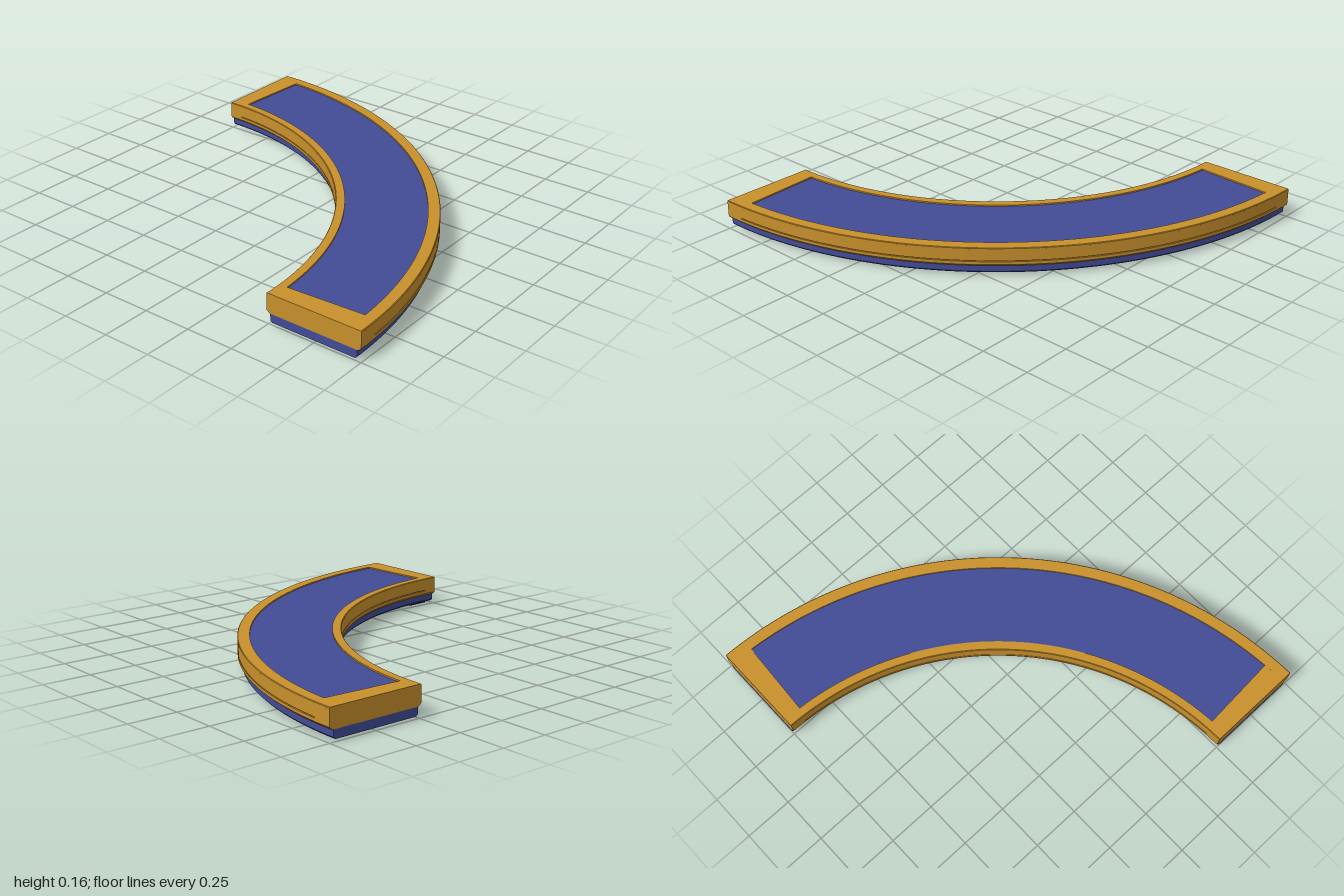
import * as THREE from 'three';
import { mergeGeometries, toCreasedNormals } from 'three/addons/utils/BufferGeometryUtils.js';

const QUARTER = Math.PI / 2;

// Sweeps a closed counter-clockwise [radius, y] profile along an arc and caps both ends.
function sweep(profile, start = 0, end = QUARTER) {
  const points = profile.map(([r, y]) => new THREE.Vector2(r, y));
  const segments = Math.max(2, Math.ceil((end - start) * 48));
  const side = new THREE.LatheGeometry([...points, points[0]], segments, start, end - start);
  const cap = (phi, flip) => {
    const geometry = new THREE.ShapeGeometry(new THREE.Shape(points));
    geometry.rotateY(phi - QUARTER);
    if (flip) geometry.setIndex(Array.from(geometry.index.array).reverse());
    return geometry.toNonIndexed();
  };
  const parts = [side.toNonIndexed(), cap(start, false), cap(end, true)];
  return toCreasedNormals(mergeGeometries(parts), 0.5);
}

const band = (r0, r1, y0, y1) => [[r0, y0], [r1, y0], [r1, y1], [r0, y1]];

export function createModel() {
  const model = new THREE.Group();
  model.name = 'curvedCounter';

  const material = (name, color) => {
    const m = new THREE.MeshStandardMaterial({ color });
    m.name = name;
    return m;
  };
  const ochre = material('ochre', 0xc8902c);
  const blue = material('blue', 0x424b96);
  const black = material('black', 0x1a1a20);

  // The arc is centred on the back right corner of the bounds.
  const arc = new THREE.Group();
  arc.name = 'arc';
  arc.position.set(-1, 0, -1);
  model.add(arc);

  const add = (name, mat, profile, start, end) => {
    const mesh = new THREE.Mesh(sweep(profile, start, end), mat);
    mesh.name = name;
    arc.add(mesh);
  };

  const inner = 1.49, outer = 2, rimInner = 1.535, rimOuter = 1.94;
  const floorY = 0.145, topY = 0.155;
  const endBlock = 0.05, rimEnd = 0.059;

  // Frame body: grooved along the sides, solid at both ends
  const lower = [[inner + 0.015, 0.055], [outer - 0.015, 0.055], [outer, 0.068]];
  const grooved = [
    ...lower,
    [outer, 0.083], [outer - 0.008, 0.083], [outer - 0.008, 0.088], [outer, 0.088],
    [outer, floorY], [inner, floorY],
    [inner, 0.088], [inner + 0.008, 0.088], [inner + 0.008, 0.083], [inner, 0.083],
    [inner, 0.068],
  ];
  const solid = [...lower, [outer, floorY], [inner, floorY], [inner, 0.068]];
  add('frameBody', ochre, grooved, endBlock, QUARTER - endBlock);
  add('frameEndLeft', ochre, solid, QUARTER - endBlock, QUARTER);
  add('frameEndRight', ochre, solid, 0, endBlock);

  // Raised rim around the inset panel
  const bevel = 0.003;
  add('innerRim', ochre, [[inner, floorY], [rimInner, floorY], [rimInner, topY],
    [inner + bevel, topY], [inner, topY - bevel]]);
  add('outerRim', ochre, [[rimOuter, floorY], [outer, floorY], [outer, topY - bevel],
    [outer - bevel, topY], [rimOuter, topY]]);
  add('endRimLeft', ochre, band(rimInner, rimOuter, floorY, topY), QUARTER - rimEnd, QUARTER);
  add('endRimRight', ochre, band(rimInner, rimOuter, floorY, topY), 0, rimEnd);

  // Inset top panel
  add('topPanel', blue, band(rimInner, rimOuter, floorY - 0.002, floorY + 0.003),
    rimEnd, QUARTER - rimEnd);

  // Recessed base under the frame
  add('base', blue, [[1.52, 0.012], [1.97, 0.012], [1.98, 0.022], [1.98, 0.056],
    [1.51, 0.056], [1.51, 0.022]]);

  // Underside plate and the feet at its ends
  add('undersidePlate', black, band(1.57, 1.92, 0.008, 0.013), 0.1, QUARTER - 0.1);
  add('footLeft', black, band(1.54, 1.94, 0, 0.013), QUARTER - 0.1, QUARTER - 0.018);
  add('footRight', black, band(1.54, 1.94, 0, 0.013), 0.018, 0.1);

  return model;
}
